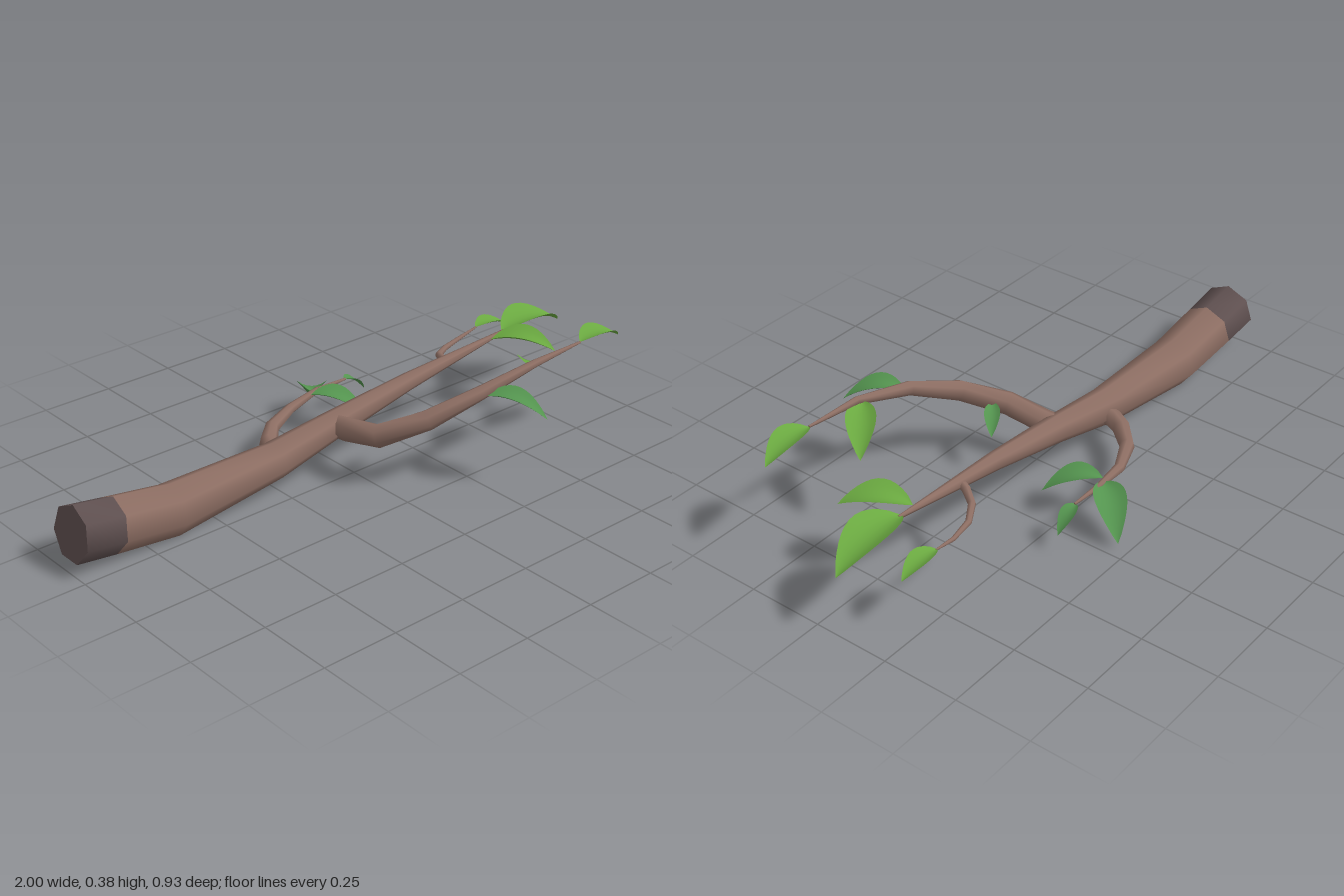
import * as THREE from 'three';

const SIDES = 7;

// Tapered seven-sided limb; each point is [x, y, z, radius].
// The first segment and start cap use material 0, the rest material 1.
function limbGeometry(points) {
  const pos = [], index = [];
  const centres = points.map(p => new THREE.Vector3(p[0], p[1], p[2]));
  const up = new THREE.Vector3(0, 1, 0);
  const last = points.length - 1;
  const ring = i => {
    const t = centres[Math.min(i + 1, last)].clone().sub(centres[Math.max(i - 1, 0)]).normalize();
    const s = t.clone().cross(up).normalize();
    const u = s.clone().cross(t);
    for (let j = 0; j < SIDES; j++) {
      const a = Math.PI / 2 + (j / SIDES) * Math.PI * 2;
      const v = centres[i].clone()
        .addScaledVector(s, Math.cos(a) * points[i][3])
        .addScaledVector(u, Math.sin(a) * points[i][3]);
      pos.push(v.x, v.y, v.z);
    }
  };
  const cap = (i, flip) => {
    const first = pos.length / 3;
    ring(i);
    pos.push(...centres[i].toArray());
    for (let j = 0; j < SIDES; j++) {
      const a = first + j, b = first + (j + 1) % SIDES;
      index.push(first + SIDES, flip ? b : a, flip ? a : b);
    }
  };
  points.forEach((_, i) => ring(i));
  cap(0, false);
  for (let i = 0; i < last; i++) {
    for (let j = 0; j < SIDES; j++) {
      const a = i * SIDES + j, b = i * SIDES + (j + 1) % SIDES;
      index.push(a, a + SIDES, b, b, a + SIDES, b + SIDES);
    }
  }
  cap(last, true);
  const g = new THREE.BufferGeometry();
  g.setAttribute('position', new THREE.Float32BufferAttribute(pos, 3));
  g.setIndex(index);
  g.computeVertexNormals();
  const split = SIDES * 9;
  g.addGroup(0, split, 0);
  g.addGroup(split, index.length - split, 1);
  return g;
}

// Pointed leaf blade, arched from base to tip and cupped along the midrib
function leafGeometry(base, tip, width, lift) {
  const g = new THREE.PlaneGeometry(1, 1, 6, 12);
  const p = g.attributes.position;
  const a = new THREE.Vector3(...base), b = new THREE.Vector3(...tip);
  const side = new THREE.Vector3(-(b.z - a.z), 0, b.x - a.x).normalize();
  const v = new THREE.Vector3();
  for (let i = 0; i < p.count; i++) {
    const t = p.getY(i) + 0.5, across = p.getX(i) * 2;
    const w = (width / 2) * Math.pow(Math.max(0, Math.sin(Math.PI * Math.pow(t, 0.88))), 0.85);
    v.lerpVectors(a, b, t).addScaledVector(side, across * w);
    v.y += lift * 4 * t * (1 - t) + 0.4 * w * across * across;
    p.setXYZ(i, v.x, v.y, v.z);
  }
  g.computeVertexNormals();
  return g;
}

export function createModel() {
  const model = new THREE.Group();
  model.name = 'leafyBranch';
  const material = (name, color, side = THREE.FrontSide) => {
    const m = new THREE.MeshStandardMaterial({ color, side });
    m.name = name;
    return m;
  };
  const bark = material('bark', 0x8d6e63);
  const darkBark = material('darkBark', 0x5f5050);
  const lightLeaf = material('lightLeaf', 0x6aa840, THREE.DoubleSide);
  const darkLeaf = material('darkLeaf', 0x54944f, THREE.DoubleSide);

  const add = (name, geometry, mat) => {
    const mesh = new THREE.Mesh(geometry, mat);
    mesh.name = name;
    model.add(mesh);
  };

  // Main limb with a dark cut end
  add('mainLimb', limbGeometry([
    [-0.985, 0.127, -0.08, 0.09], [-0.85, 0.107, -0.08, 0.088], [-0.64, 0.079, -0.08, 0.084],
    [-0.25, 0.106, -0.078, 0.061], [0, 0.153, -0.076, 0.046], [0.3, 0.2, -0.076, 0.03],
    [0.73, 0.249, -0.077, 0.006],
  ]), [darkBark, bark]);

  // Side twigs
  const twigs = {
    frontTwig: [
      [-0.015, 0.15, -0.06, 0.038], [-0.01, 0.152, -0.02, 0.039], [0.005, 0.175, 0.11, 0.038],
      [0.11, 0.235, 0.215, 0.033], [0.27, 0.3, 0.28, 0.023], [0.47, 0.347, 0.31, 0.013],
      [0.67, 0.36, 0.313, 0.004],
    ],
    backTwig: [
      [-0.22, 0.105, -0.09, 0.03], [-0.215, 0.1, -0.14, 0.031], [-0.19, 0.098, -0.19, 0.029],
      [-0.12, 0.1, -0.26, 0.024], [0, 0.107, -0.315, 0.017], [0.13, 0.125, -0.335, 0.01],
      [0.25, 0.128, -0.333, 0.004],
    ],
    tipTwig: [
      [0.465, 0.219, -0.075, 0.014], [0.475, 0.213, -0.11, 0.014], [0.505, 0.2, -0.155, 0.012],
      [0.57, 0.191, -0.195, 0.01], [0.66, 0.196, -0.215, 0.007], [0.74, 0.21, -0.22, 0.003],
    ],
  };
  for (const [name, points] of Object.entries(twigs)) add(name, limbGeometry(points), [bark, bark]);

  // Leaves: base, tip, width, arch height
  const light = [
    [[0.715, 0.248, -0.075], [1, 0.21, -0.085], 0.135, 0.035],
    [[0.655, 0.242, -0.065], [0.77, 0.23, 0.12], 0.115, 0.028],
    [[0.735, 0.21, -0.22], [0.88, 0.185, -0.215], 0.068, 0.016],
    [[0.67, 0.36, 0.312], [0.86, 0.327, 0.305], 0.092, 0.022],
    [[0.455, 0.34, 0.303], [0.595, 0.25, 0.19], 0.092, 0.02],
  ];
  const dark = [
    [[0.275, 0.292, 0.295], [0.375, 0.242, 0.462], 0.092, 0.03],
    [[0.055, 0.195, 0.13], [0.14, 0.135, 0.068], 0.05, 0.01],
    [[0.105, 0.125, -0.33], [0.215, 0.022, -0.467], 0.1, 0.032],
    [[0.09, 0.125, -0.32], [0.2, 0.075, -0.172], 0.095, 0.028],
    [[0.245, 0.127, -0.335], [0.335, 0.065, -0.335], 0.052, 0.014],
  ];
  light.forEach((l, i) => add(`lightLeaf${i + 1}`, leafGeometry(...l), lightLeaf));
  dark.forEach((l, i) => add(`darkLeaf${i + 1}`, leafGeometry(...l), darkLeaf));
  return model;
}
